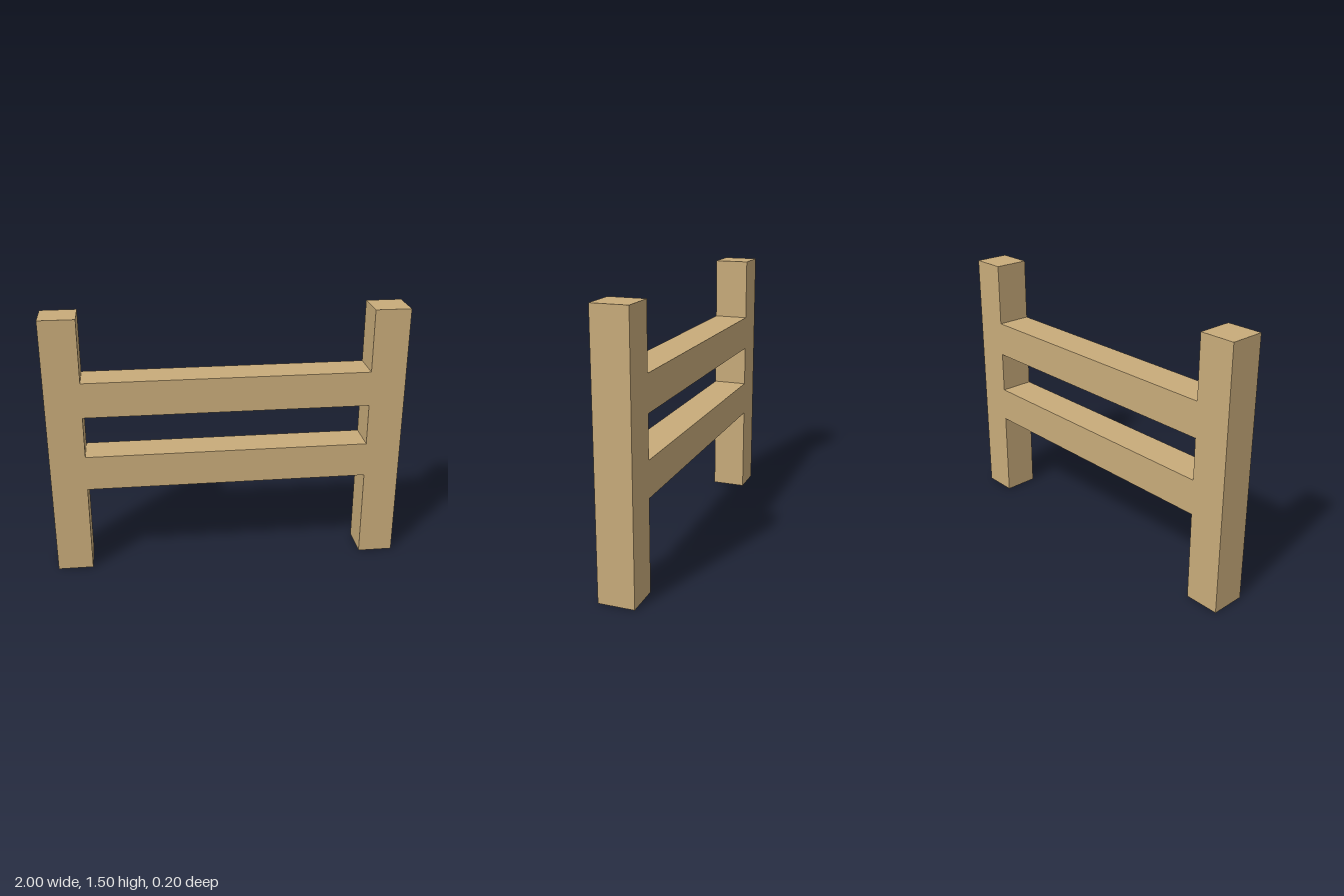
import * as THREE from 'three';

export function createModel() {
  const group = new THREE.Group();
  group.name = 'fence';

  const wood = new THREE.MeshStandardMaterial({ color: 0xc8ab7a });
  wood.name = 'light wood';

  const T = 0.2;      // timber thickness
  const H = 1.505;    // post height

  const beam = (name, w, h, x, y) => {
    const mesh = new THREE.Mesh(new THREE.BoxGeometry(w, h, T), wood);
    mesh.name = name;
    mesh.position.set(x, y, 0);
    group.add(mesh);
  };

  // Upright posts
  beam('leftPost', T, H, 0.9, H / 2);
  beam('rightPost', T, H, -0.9, H / 2);

  // Horizontal rails spanning between the posts
  beam('upperRail', 1.6, T, 0, 1.05);
  beam('lowerRail', 1.6, T, 0, 0.613);

  return group;
}
